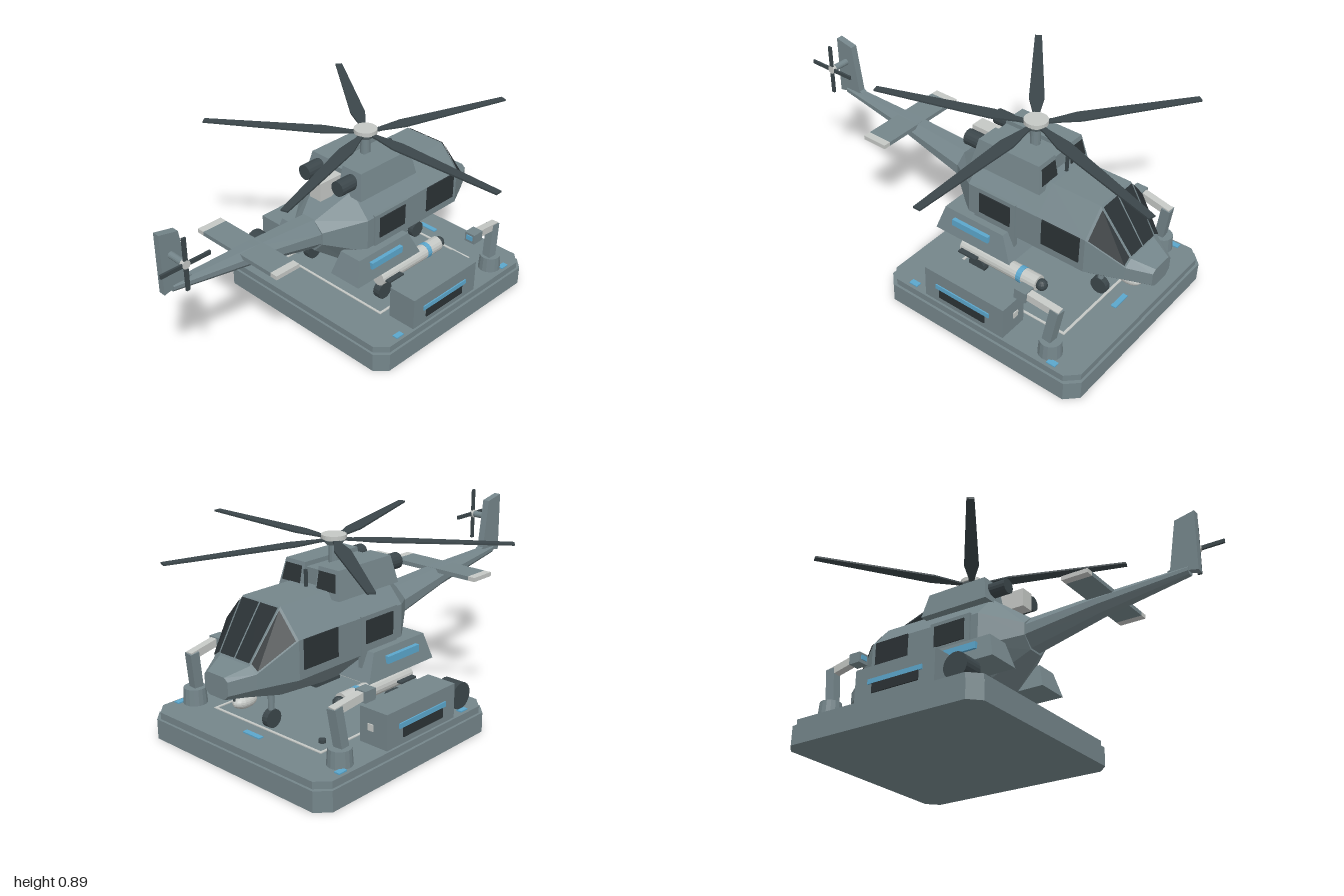
import * as THREE from 'three';

const mat = (name, color, side = THREE.FrontSide) => {
  const m = new THREE.MeshStandardMaterial({ color, side, flatShading: true });
  m.name = name;
  return m;
};

export function createModel() {
  const hull = mat('hull grey', 0x74858a);
  const dark = mat('dark grey', 0x3b464a);
  const glass = mat('dark glass', 0x2b3235, THREE.DoubleSide);
  const light = mat('light grey', 0xc4c7c4);
  const blue = mat('blue', 0x5ba6cc, THREE.DoubleSide);

  const model = new THREE.Group();
  model.name = 'helicopterOnPad';
  const root = new THREE.Group();
  root.name = 'centreline';
  root.position.x = -0.07;
  model.add(root);

  const add = (name, geo, m, x = 0, y = 0, z = 0, parent = root) => {
    const mesh = new THREE.Mesh(geo, m);
    mesh.name = name;
    mesh.position.set(x, y, z);
    parent.add(mesh);
    return mesh;
  };
  // Box given by its limits
  const box = (name, m, x0, x1, y0, y1, z0, z1, parent) =>
    add(name, new THREE.BoxGeometry(Math.abs(x1 - x0), y1 - y0, z1 - z0), m,
      (x0 + x1) / 2, (y0 + y1) / 2, (z0 + z1) / 2, parent);
  const cyl = (name, m, r0, r1, h, x, y, z, n = 16, parent = root) =>
    add(name, new THREE.CylinderGeometry(r0, r1, h, n), m, x, y, z, parent);
  // Square bar between two points
  const bar = (name, m, a, b, w) => {
    const p = new THREE.Vector3(...a), q = new THREE.Vector3(...b);
    const mesh = add(name, new THREE.BoxGeometry(w, w, p.distanceTo(q)), m);
    mesh.position.copy(p).add(q).multiplyScalar(0.5);
    mesh.quaternion.setFromUnitVectors(new THREE.Vector3(0, 0, 1), q.sub(p).normalize());
    return mesh;
  };
  // Solid through rings [z, [[x, y], ...]], anticlockwise from +z, z ascending
  const loft = (sections) => {
    const pos = [], n = sections[0][1].length;
    const pt = (s, i) => [...sections[s][1][i % n], sections[s][0]];
    const tri = (a, b, c) => pos.push(...a, ...b, ...c);
    for (let s = 0; s < sections.length - 1; s++)
      for (let i = 0; i < n; i++) {
        tri(pt(s, i), pt(s, i + 1), pt(s + 1, i + 1));
        tri(pt(s, i), pt(s + 1, i + 1), pt(s + 1, i));
      }
    const e = sections.length - 1;
    for (let i = 1; i < n - 1; i++) {
      tri(pt(e, 0), pt(e, i), pt(e, i + 1));
      tri(pt(0, 0), pt(0, i + 1), pt(0, i));
    }
    const g = new THREE.BufferGeometry();
    g.setAttribute('position', new THREE.Float32BufferAttribute(pos, 3));
    g.computeVertexNormals();
    return g;
  };
  const mirror = (ring, s) => s > 0 ? ring : ring.map(([x, y]) => [-x, y]).reverse();
  // Thin pane inset in a quad and lifted off along the outward hint
  const pane = (name, m, quad, inset, hint) => {
    const p = quad.map(c => new THREE.Vector3(...c));
    const mid = p.reduce((a, c) => a.add(c), new THREE.Vector3()).multiplyScalar(0.25);
    const nrm = p[2].clone().sub(p[0]).cross(p[3].clone().sub(p[1])).normalize();
    const flip = nrm.dot(new THREE.Vector3(...hint)) < 0;
    if (flip) nrm.negate();
    const v = p.map(c => c.lerp(mid, inset).addScaledVector(nrm, 0.006).toArray());
    const o = flip ? [0, 2, 1, 0, 3, 2] : [0, 1, 2, 0, 2, 3];
    const g = new THREE.BufferGeometry();
    g.setAttribute('position', new THREE.Float32BufferAttribute(o.flatMap(i => v[i]), 3));
    g.computeVertexNormals();
    return add(name, g, m);
  };

  // Landing pad: two slabs with cut corners
  const slab = (name, half, cut, y0, y1) => {
    const a = half, b = half - cut;
    const s = new THREE.Shape([[a, -b], [a, b], [b, a], [-b, a], [-a, b], [-a, -b], [-b, -a], [b, -a]]
      .map(c => new THREE.Vector2(...c)));
    const g = new THREE.ExtrudeGeometry(s, { depth: y1 - y0, bevelEnabled: false }).rotateX(-Math.PI / 2);
    add(name, g, hull, 0, y0, -0.365);
  };
  slab('padBase', 0.535, 0.055, 0, 0.093);
  slab('padDeck', 0.523, 0.055, 0.093, 0.125);
  for (const s of [-1, 1]) {
    box('deckLine', light, s * 0.318, s * 0.33, 0.123, 0.129, -0.7, -0.04);
    box('deckMarkerFront', blue, s * 0.48, s * 0.508, 0.124, 0.131, -0.78, -0.735);
    box('deckMarkerRear', blue, s * 0.48, s * 0.508, 0.124, 0.131, -0.005, 0.04);
    cyl('deckLamp', dark, 0.016, 0.016, 0.015, s * 0.26, 0.132, -0.62);
  }
  for (const z of [-0.7, -0.052]) box('deckLine', light, -0.33, 0.33, 0.123, 0.129, z, z + 0.012);
  box('deckPanel', blue, -0.05, 0.05, 0.124, 0.131, -0.78, -0.755);

  // Fuselage
  const ring = (a, yt, b, ys, yl, c, yb) =>
    [[b, yl], [b, ys], [a, yt], [-a, yt], [-b, ys], [-b, yl], [-c, yb], [c, yb]];
  add('fuselage', loft([
    [-0.95, ring(0.05, 0.455, 0.07, 0.44, 0.38, 0.045, 0.358)],
    [-0.85, ring(0.09, 0.485, 0.13, 0.46, 0.395, 0.07, 0.345)],
    [-0.695, ring(0.11, 0.7, 0.213, 0.58, 0.41, 0.1, 0.315)],
    [-0.45, ring(0.11, 0.7, 0.213, 0.58, 0.41, 0.1, 0.295)],
    [-0.07, ring(0.11, 0.69, 0.213, 0.575, 0.41, 0.1, 0.295)],
    [0.1, ring(0.04, 0.575, 0.09, 0.53, 0.47, 0.04, 0.415)]
  ]), hull);

  // Tail boom, fin and stabiliser
  add('tailBoom', loft([
    [0.08, ring(0.035, 0.577, 0.088, 0.52, 0.47, 0.035, 0.42)],
    [0.45, ring(0.025, 0.597, 0.055, 0.565, 0.535, 0.025, 0.505)],
    [0.88, ring(0.012, 0.61, 0.022, 0.6, 0.585, 0.012, 0.572)]
  ]), hull);
  const finShape = new THREE.Shape([[-0.78, 0.61], [-0.925, 0.578], [-0.925, 0.868], [-0.83, 0.848], [-0.795, 0.615]]
    .map(c => new THREE.Vector2(...c)));
  add('tailFin', new THREE.ExtrudeGeometry(finShape, { depth: 0.034, bevelEnabled: false })
    .rotateY(Math.PI / 2), hull, -0.017);
  box('stabiliser', hull, -0.22, 0.22, 0.575, 0.595, 0.4, 0.53);
  for (const s of [-1, 1]) box('stabiliserTip', light, s * 0.22, s * 0.258, 0.575, 0.595, 0.4, 0.53);

  // Tail rotor
  cyl('tailRotorShaft', hull, 0.016, 0.016, 0.115, 0.06, 0.755, 0.875).rotation.z = Math.PI / 2;
  cyl('tailRotorHub', light, 0.02, 0.02, 0.02, 0.108, 0.755, 0.875).rotation.z = Math.PI / 2;
  box('tailRotorBlade', dark, 0.107, 0.117, 0.63, 0.88, 0.866, 0.884);
  box('tailRotorBlade', dark, 0.107, 0.117, 0.746, 0.764, 0.75, 1.0);

  // Main rotor
  cyl('rotorMast', hull, 0.024, 0.024, 0.18, 0, 0.77, -0.27);
  cyl('rotorCollar', hull, 0.052, 0.035, 0.022, 0, 0.862, -0.27);
  cyl('rotorHub', light, 0.055, 0.055, 0.02, 0, 0.885, -0.27, 24);
  const blade = loft([[0.02, 0.013], [0.08, 0.015], [0.2, 0.035], [0.765, 0.017]]
    .map(([r, w]) => [r, [[w, -0.004], [w, 0.004], [-w, 0.004], [-w, -0.004]]]));
  for (let i = 0; i < 5; i++)
    add('rotorBlade', blade, dark, 0, 0.873, -0.27).rotation.y = Math.PI / 2 + i * Math.PI * 0.4;

  // Exhaust housing between the engines
  box('exhaustHousing', light, -0.035, 0.035, 0.655, 0.745, -0.08, 0.055);
  box('engineDeck', hull, -0.05, 0.05, 0.67, 0.77, -0.4, -0.08);

  for (const s of [-1, 1]) {
    // Cockpit and cabin glass
    pane('windscreen', glass, [[0, 0.7, -0.695], [s * 0.11, 0.7, -0.695],
      [s * 0.09, 0.485, -0.85], [0, 0.485, -0.85]], 0.07, [0, 1, -1]);
    pane('cockpitSidePane', glass, [[s * 0.11, 0.7, -0.695], [s * 0.213, 0.58, -0.695],
      [s * 0.13, 0.46, -0.85], [s * 0.09, 0.485, -0.85]], 0.1, [s, 1, -1]);
    box('cabinWindow', glass, s * 0.211, s * 0.219, 0.45, 0.58, -0.67, -0.475);
    box('cabinDoor', hull, s * 0.2, s * 0.222, 0.31, 0.585, -0.335, -0.11);
    box('doorWindow', glass, s * 0.22, s * 0.227, 0.46, 0.565, -0.31, -0.14);

    // Engine nacelle with intake and exhaust
    const low = [0.035, 0.18, 0.667], up = [0.04, 0.155, 0.79];
    const nac = mirror([[low[0], low[2]], [low[1], low[2]], [up[1], up[2]], [up[0], up[2]]], s);
    const nacelle = loft([[-0.43, nac], [-0.055, nac]]);
    const p = nacelle.attributes.position;
    for (let i = 0; i < p.count; i++)
      if (p.getY(i) > 0.7) p.setZ(i, p.getZ(i) < -0.2 ? -0.405 : -0.08);
    nacelle.computeVertexNormals();
    add('engineNacelle', nacelle, hull);
    pane('engineIntake', glass, [[s * 0.04, 0.69, -0.425], [s * 0.17, 0.69, -0.425],
      [s * 0.155, 0.78, -0.407], [s * 0.04, 0.78, -0.407]], 0.15, [0, 0, -1]);
    cyl('engineExhaust', dark, 0.037, 0.037, 0.1, s * 0.105, 0.735, -0.03).rotation.x = Math.PI / 2;

    // Side sponson with blue strip
    const sp = mirror([[0.11, 0.305], [0.285, 0.305], [0.257, 0.425], [0.14, 0.425]], s);
    const sponson = loft([[-0.36, sp], [0.065, sp]]);
    const q = sponson.attributes.position;
    for (let i = 0; i < q.count; i++)
      if (q.getY(i) > 0.4) q.setZ(i, q.getZ(i) < -0.2 ? -0.3 : 0.03);
    sponson.computeVertexNormals();
    add('sponson', sponson, hull);
    box('sponsonStrip', blue, s * 0.255, s * 0.284, 0.362, 0.395, -0.235, -0.03);

    // Slung missile
    const missile = new THREE.Group();
    missile.name = 'missile';
    missile.position.set(s * 0.265, 0.273, 0);
    root.add(missile);
    cyl('missileBody', light, 0.037, 0.037, 0.42, 0, 0, -0.3, 16, missile).rotation.x = Math.PI / 2;
    cyl('missileBand', blue, 0.039, 0.039, 0.025, 0, 0, -0.42, 16, missile).rotation.x = Math.PI / 2;
    add('missileNose', new THREE.SphereGeometry(0.028, 12, 8), dark, 0, 0, -0.525, missile);
    box('missileFin', dark, -0.062, 0.062, -0.004, 0.004, -0.2, -0.1, missile);

    // Main landing gear
    bar('mainLeg', hull, [s * 0.17, 0.33, -0.15], [s * 0.24, 0.19, -0.15], 0.026);
    cyl('mainWheel', dark, 0.045, 0.045, 0.036, s * 0.24, 0.17, -0.15).rotation.z = Math.PI / 2;

    // Equipment cabinet with grille
    box('cabinet', hull, s * 0.365, s * 0.512, 0.125, 0.285, -0.505, -0.065);
    box('cabinetGrille', glass, s * 0.51, s * 0.518, 0.155, 0.2, -0.405, -0.15);
    box('cabinetStrip', blue, s * 0.51, s * 0.518, 0.2, 0.223, -0.43, -0.13);
    box('cabinetPlate', light, s * 0.41, s * 0.44, 0.19, 0.22, -0.51, -0.504);

    // Service arm
    const x = s * 0.445;
    cyl('armBase', hull, 0.05, 0.055, 0.075, x, 0.162, -0.71);
    bar('armColumn', hull, [x, 0.19, -0.7], [x - s * 0.012, 0.37, -0.725], 0.045);
    bar('armBoom', light, [x - s * 0.012, 0.355, -0.74], [x, 0.38, -0.58], 0.036);
    box('armHead', hull, x - 0.028, x + 0.028, 0.352, 0.402, -0.59, -0.53);
    box('armLamp', blue, x - 0.017, x + 0.017, 0.368, 0.39, -0.532, -0.525);
  }

  // Belly box, nose gear, sensor pod and probe
  box('bellyBox', dark, -0.058, 0.058, 0.255, 0.3, -0.45, -0.3);
  cyl('noseLeg', hull, 0.014, 0.014, 0.17, 0, 0.25, -0.66);
  cyl('noseWheel', dark, 0.042, 0.042, 0.03, 0, 0.168, -0.66).rotation.z = Math.PI / 2;
  add('sensorPod', new THREE.SphereGeometry(0.06, 16, 12), light, 0, 0.295, -0.805).scale.set(0.6, 0.5, 1);
  cyl('sensorPost', hull, 0.015, 0.015, 0.06, 0, 0.335, -0.805);
  cyl('probe', dark, 0.005, 0.005, 0.06, 0, 0.34, -0.86);
  box('roofAntenna', dark, -0.006, 0.006, 0.69, 0.775, -0.448, -0.436);

  // Fuel drum beside the cabinet
  cyl('drum', dark, 0.062, 0.062, 0.095, -0.437, 0.19, 0.02, 24).rotation.z = Math.PI / 2;
  return model;
}
